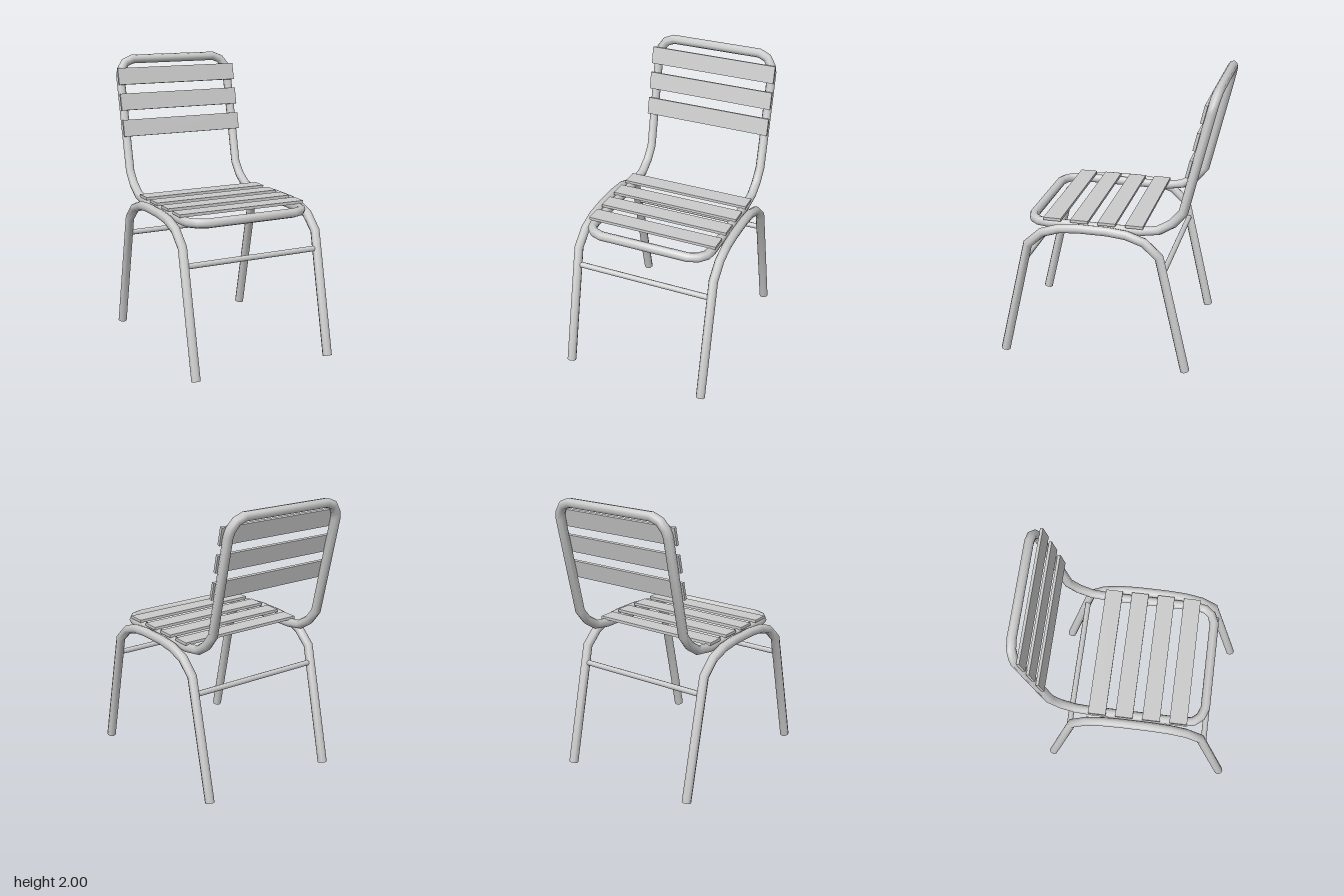
import * as THREE from 'three';

const grey = new THREE.MeshStandardMaterial({ color: 0xcccccc });
const R = 0.033; // radius of the main tubing
const V = (x, y, z) => new THREE.Vector3(x, y, z);

// A bent pipe with exactly one ring at each path point
class PipePath extends THREE.Curve {
  constructor(points, closed) {
    super();
    this.points = points;
    this.closed = closed;
    this.count = closed ? points.length : points.length - 1;
  }
  at(i) {
    const n = this.points.length;
    return this.closed ? this.points[(i + n) % n] : this.points[THREE.MathUtils.clamp(i, 0, n - 1)];
  }
  getPointAt(u, target = V(0, 0, 0)) {
    return target.copy(this.at(Math.round(u * this.count)));
  }
  getTangentAt(u, target = V(0, 0, 0)) {
    const i = Math.round(u * this.count);
    const before = this.at(i).clone().sub(this.at(i - 1)).normalize();
    const after = this.at(i + 1).clone().sub(this.at(i)).normalize();
    return target.copy(before.add(after).normalize());
  }
}

function pipe(name, points, radius, closed = false) {
  const path = new PipePath(points, closed);
  const group = new THREE.Group();
  group.name = name;
  group.add(new THREE.Mesh(new THREE.TubeGeometry(path, path.count, radius, 8, closed), grey));
  // flat discs on open ends
  if (!closed) {
    for (const u of [0, 1]) {
      const cap = new THREE.Mesh(new THREE.CircleGeometry(radius, 8), grey);
      cap.position.copy(path.getPointAt(u));
      cap.quaternion.setFromUnitVectors(V(0, 0, 1), path.getTangentAt(u).multiplyScalar(u ? 1 : -1));
      group.add(cap);
    }
  }
  return group;
}

function slat(name, y, z, tilt) {
  const mesh = new THREE.Mesh(new THREE.BoxGeometry(0.94, 0.02, 0.122), grey);
  mesh.name = name;
  mesh.position.set(0, y, z);
  mesh.rotation.x = tilt;
  return mesh;
}

export function createModel() {
  const chair = new THREE.Group();
  chair.name = 'chair';

  // Side leg hoops: front half mirrored about the hoop's middle
  const half = [[0.72, 0.008], [0.525, 0.855], [0.42, 0.95], [0.3, 0.99], [0.17, 1.003]];
  const middle = 0.067;
  const hoop = [...half, ...half.map(([z, y]) => [2 * middle - z, y]).reverse()];
  for (const s of [1, -1]) {
    chair.add(pipe(s > 0 ? 'leftLegs' : 'rightLegs', hoop.map(([z, y]) => V(s * 0.503, y, z)), R));
  }

  // Seat and back frame: one closed loop, front middle to top middle, mirrored
  const side = [
    [0.32, 1, 0.532], [0.385, 1, 0.508], [0.425, 1, 0.46], [0.437, 1, 0.4],
    [0.437, 1, -0.25], [0.437, 1.02, -0.37], [0.437, 1.08, -0.465], [0.437, 1.165, -0.535],
    [0.437, 1.85, -0.693], [0.425, 1.895, -0.703], [0.39, 1.944, -0.715], [0.33, 1.968, -0.72],
  ];
  const loop = [
    ...side.map(([x, y, z]) => V(x, y, z)),
    ...side.map(([x, y, z]) => V(-x, y, z)).reverse(),
  ];
  chair.add(pipe('seatAndBackFrame', loop, R, true));

  // Seat slats
  for (let i = 0; i < 4; i++) chair.add(slat('seatSlat', 1.038, 0.356 - i * 0.189, 0));

  // Back slats, lying against the front of the leaning frame
  const lean = Math.atan2(0.158, 0.685);
  for (const y of [1.48, 1.667, 1.85]) {
    const z = -0.535 - (y - 1.165) * Math.tan(lean) + 0.04;
    chair.add(slat('backSlat', y, z, Math.PI / 2 - lean));
  }

  // Thin rods joining the left and right legs
  for (const [name, z] of [['frontCrossbar', 0.553], ['rearCrossbar', -0.419]]) {
    chair.add(pipe(name, [V(-0.485, 0.735, z), V(0.485, 0.735, z)], 0.02));
  }
  return chair;
}
